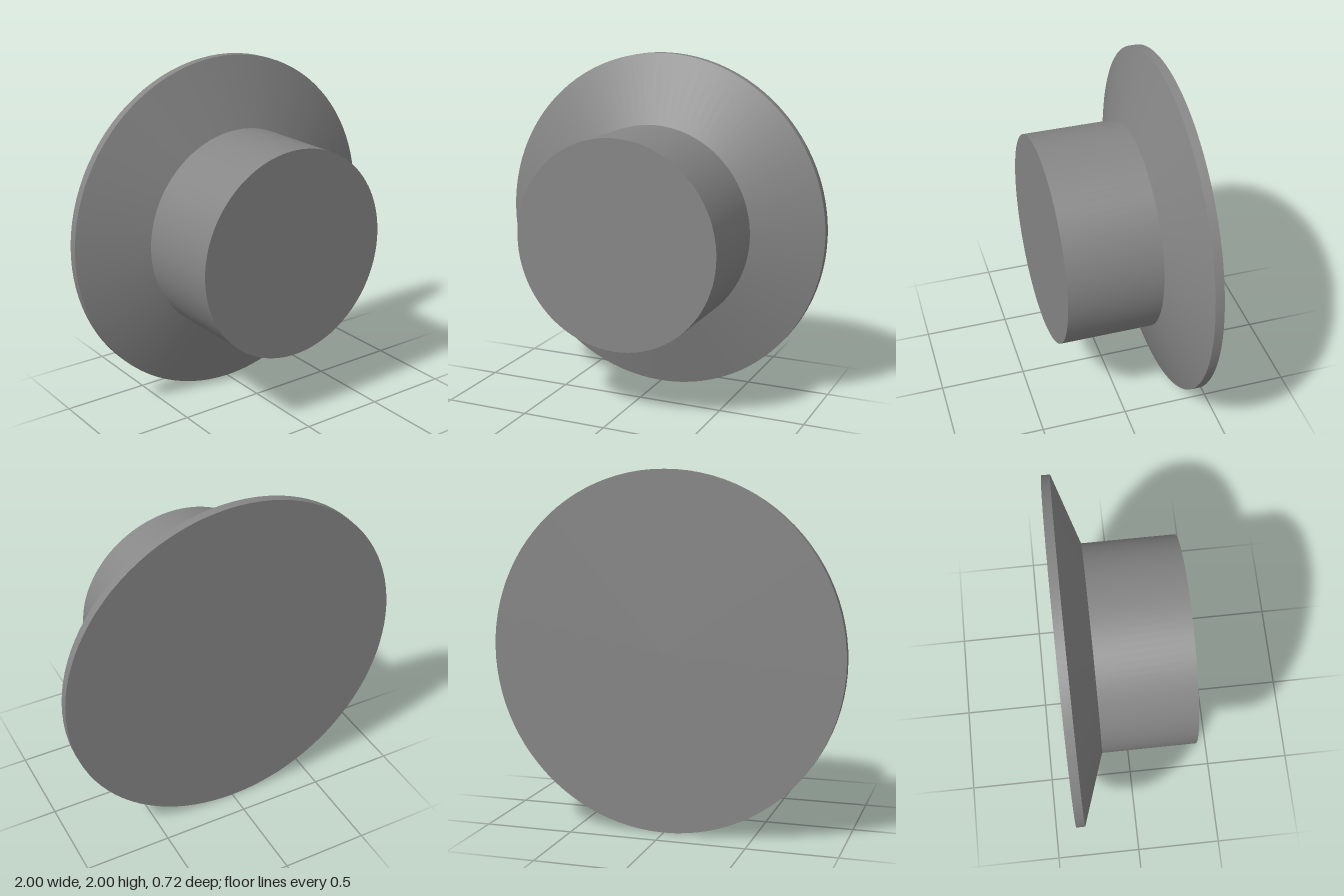
import * as THREE from 'three';
import { toCreasedNormals } from 'three/addons/utils/BufferGeometryUtils.js';

const SEGMENTS = 96;

// Turn a [radius, z] profile, listed back to front, around the z axis
function turned(name, profile, material) {
  const points = profile.map(([r, z]) => new THREE.Vector2(r, z));
  const lathe = new THREE.LatheGeometry(points, SEGMENTS).rotateX(Math.PI / 2);
  const mesh = new THREE.Mesh(toCreasedNormals(lathe, Math.PI / 6), material);
  mesh.name = name;
  mesh.position.y = 1;
  return mesh;
}

export function createModel() {
  const group = new THREE.Group();
  group.name = 'flangedKnob';
  const material = new THREE.MeshStandardMaterial({ color: 0x868686 });

  // Wide disc: flat back, thin straight rim, conical front
  group.add(turned('flange', [[0, -0.36], [1, -0.36], [1, -0.31], [0.6, -0.175]], material));

  // Straight round boss with a flat front face
  group.add(turned('hub', [[0.6, -0.175], [0.6, 0.36], [0, 0.36]], material));

  return group;
}
